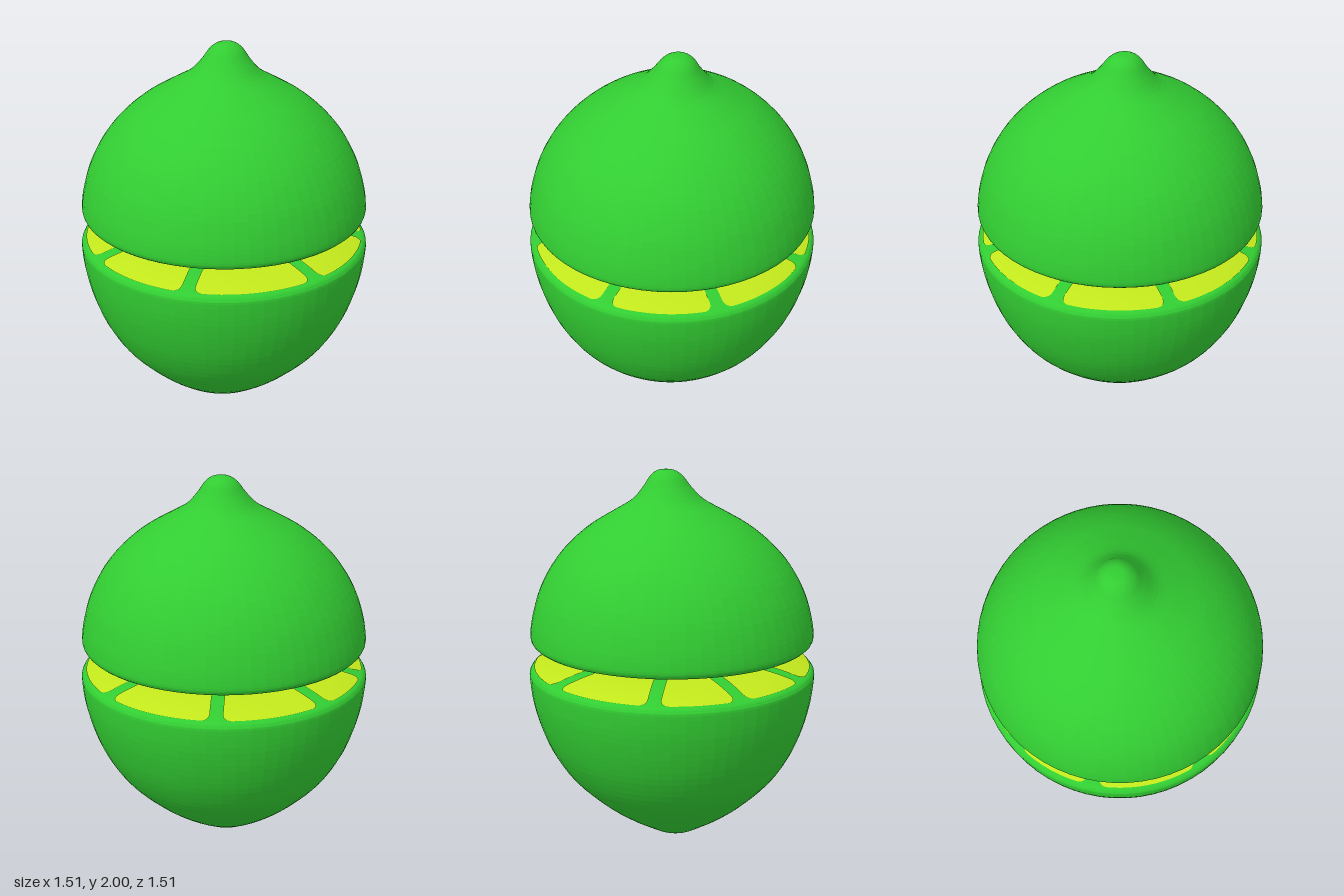
import * as THREE from 'three';

const SIDES = 64;
const RIM = 0.73; // outer radius of the cut faces

// height of the domed cut face at radius r: flat in the middle, falling off at the rim
const lowerFace = r => 1.023 - 0.058 * (r / RIM) ** 4;
const upperFace = r => 1.047 + 0.06 * (r / RIM) ** 4;

const spline = (pts, n) =>
  new THREE.SplineCurve(pts.map(p => new THREE.Vector2(...p))).getPoints(n);

// cut face profile from the centre to the rim
const facePoints = f =>
  Array.from({ length: 13 }, (_, i) => new THREE.Vector2(RIM * i / 12, f(RIM * i / 12)));

// turned half, with its tip leaning a little off the axis
function half(points, leanX, leanZ, centreY, tipY) {
  const g = new THREE.LatheGeometry(points, SIDES);
  const p = g.attributes.position;
  for (let i = 0; i < p.count; i++) {
    const t = Math.max(0, (p.getY(i) - centreY) / (tipY - centreY)) ** 2;
    p.setX(i, p.getX(i) + leanX * t);
    p.setZ(i, p.getZ(i) + leanZ * t);
  }
  return g;
}

// rounded wedge of flesh lying on a cut face; dir is 1 for facing up, -1 for down
function wedge(from, to, outer, face, dir) {
  const mid = (from + to) / 2, halfAngle = (to - from) / 2;
  const gap = 0.032, corner = 0.045;
  const r0 = gap / halfAngle + 0.03;
  const g = new THREE.PlaneGeometry(1, 1, 12, 20);
  const p = g.attributes.position;
  for (let i = 0; i < p.count; i++) {
    const u = -dir * p.getX(i) * 2;
    const v = Math.sin((p.getY(i) + 0.5) * Math.PI / 2);
    const r = r0 + (outer - r0) * v;
    const d = Math.max(0, corner - (outer - r));
    const cut = corner - Math.sqrt(Math.max(0, corner * corner - d * d));
    const a = mid + u * Math.max(0, halfAngle - (gap + cut) / r);
    p.setXYZ(i, r * Math.sin(a), face(r) + dir * 0.005, r * Math.cos(a));
  }
  g.computeVertexNormals();
  return g;
}

export function createModel() {
  const rind = new THREE.MeshStandardMaterial({ color: 0x32cd32, flatShading: true });
  const flesh = new THREE.MeshStandardMaterial({ color: 0xc3e81c });
  rind.name = 'rind green';
  flesh.name = 'flesh yellow green';

  const model = new THREE.Group();
  model.name = 'cutLime';

  const addHalf = (name, geometry, outer, face, dir, cuts) => {
    const group = new THREE.Group();
    group.name = name;
    const body = new THREE.Mesh(geometry, rind);
    body.name = name + 'Rind';
    group.add(body);
    cuts.forEach((c, i) => {
      const next = i + 1 < cuts.length ? cuts[i + 1] : cuts[0] + 360;
      const m = new THREE.Mesh(wedge(THREE.MathUtils.degToRad(c),
        THREE.MathUtils.degToRad(next), outer, face, dir), flesh);
      m.name = name + 'Segment' + (i + 1);
      group.add(m);
    });
    model.add(group);
  };

  // lower half: pointed base up to the rim, then across the cut face
  const lower = spline([[0, 0], [0.06, 0.007], [0.12, 0.03], [0.2, 0.078], [0.3, 0.142],
    [0.42, 0.235], [0.56, 0.375], [0.652, 0.52], [0.708, 0.66], [0.743, 0.8], [0.756, 0.92],
    [0.75, 0.948], [0.74, 0.96]], 44).concat(facePoints(lowerFace).reverse());
  addHalf('lowerHalf', half(lower, 0, 0.02, 0.9, 0), 0.73, lowerFace, 1,
    [-20, 27, 80, 126, 173, 223, 269, 304]);

  // upper half: across the cut face, round the rim and up to the nub
  const upper = facePoints(upperFace).concat(spline([[0.739, 1.115], [0.746, 1.145],
    [0.732, 1.24], [0.692, 1.37], [0.622, 1.5], [0.53, 1.61], [0.42, 1.702], [0.3, 1.775],
    [0.19, 1.84], [0.128, 1.905], [0.085, 1.965], [0.045, 1.994], [0, 2]], 48));
  addHalf('upperHalf', half(upper, -0.01, -0.03, 1.15, 2), 0.67, upperFace, -1,
    [-25, 25, 91, 137, 185, 230, 270, 302]);

  return model;
}
